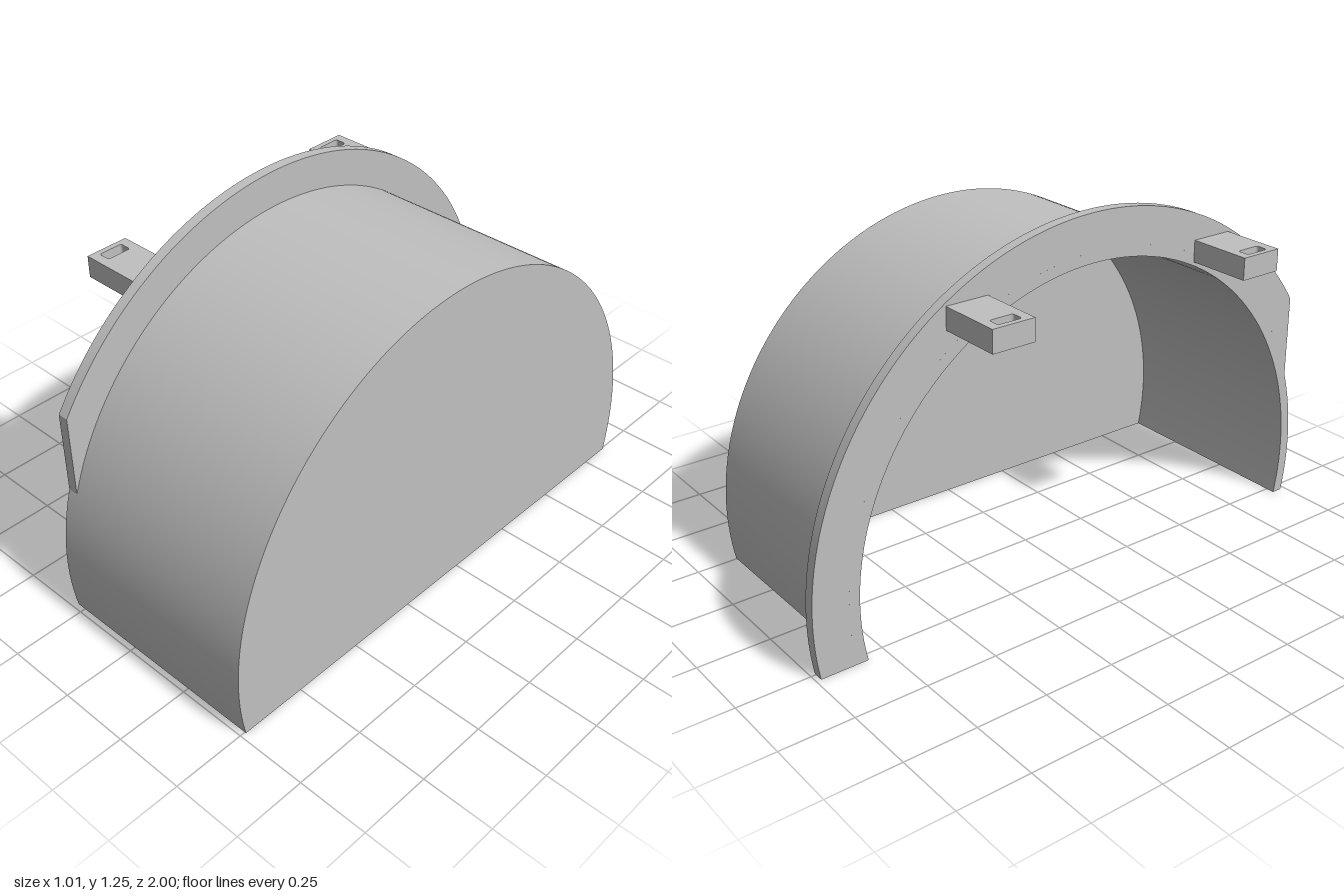
import * as THREE from 'three';
import { toCreasedNormals } from 'three/addons/utils/BufferGeometryUtils.js';

const CU = -0.0625, CV = 0.1875;              // arch centre (u = -z, v = y)
const R_OUT = 0.9375, R_IN = 0.9, R_FLANGE = 1.0625;
const X0 = -0.282, X1 = 0.505, T = 0.0375;    // open end, closed end, wall thickness
const CLIP_U = -0.955;                        // flat cut on the front of the flange

// Angle at which an arch of radius r meets the ground on the back side
const foot = r => -Math.asin(CV / r);
// Angle at which an arch of radius r meets the flange's flat cut
const cut = r => Math.acos((CLIP_U - CU) / r);

// Arch band between two radii, from the back foot to the given end angles
function band(outer, inner, outerEnd, innerEnd) {
  const s = new THREE.Shape();
  s.absarc(CU, CV, outer, foot(outer), outerEnd, false);
  s.absarc(CU, CV, inner, innerEnd, foot(inner), true);
  return s;
}

// Extrude a side profile along x
function alongX(shape, x, depth) {
  const g = new THREE.ExtrudeGeometry(shape, { depth, bevelEnabled: false, curveSegments: 64 });
  g.rotateY(Math.PI / 2).translate(x, 0, 0);
  return toCreasedNormals(g, 0.5);
}

// Flat mounting tab with a slot through it
function tabGeometry() {
  const s = new THREE.Shape();
  s.moveTo(-0.507, -0.075).lineTo(X0, -0.075).lineTo(X0, 0.075).lineTo(-0.507, 0.075).closePath();
  const h = new THREE.Path(), a = -0.488, b = -0.446, w = 0.042, r = 0.008;
  h.moveTo(a + r, -w);
  h.absarc(a + r, -w + r, r, -Math.PI / 2, -Math.PI, true);
  h.absarc(a + r, w - r, r, Math.PI, Math.PI / 2, true);
  h.absarc(b - r, w - r, r, Math.PI / 2, 0, true);
  h.absarc(b - r, -w + r, r, 0, -Math.PI / 2, true);
  s.holes.push(h);
  const g = new THREE.ExtrudeGeometry(s, { depth: 0.075, bevelEnabled: false, curveSegments: 4 });
  g.rotateX(-Math.PI / 2);
  return g;
}

export function createModel() {
  const group = new THREE.Group();
  const grey = new THREE.MeshStandardMaterial({ color: 0xc0c0c0 });
  grey.name = 'grey';
  const add = (name, geometry) => {
    const m = new THREE.Mesh(geometry, grey);
    m.name = name;
    group.add(m);
    return m;
  };

  // Curved wall, open underneath and at the flange end
  const wall = band(R_OUT, R_IN, Math.PI - foot(R_OUT), Math.PI - foot(R_IN));
  add('archWall', alongX(wall, X0, X1 - X0));

  // End plate closing the far side
  const plate = new THREE.Shape();
  plate.absarc(CU, CV, R_IN, foot(R_IN), Math.PI - foot(R_IN), false);
  add('endPlate', alongX(plate, X1 - T, T));

  // Flange around the open end, cut flat at the front
  add('flange', alongX(band(R_FLANGE, R_OUT, cut(R_FLANGE), cut(R_OUT)), X0, T));

  // Two slotted mounting tabs
  const tab = tabGeometry();
  add('backTab', tab).position.set(0, 1, -0.43);
  add('frontTab', tab).position.set(0, 1, 0.55);

  return group;
}
